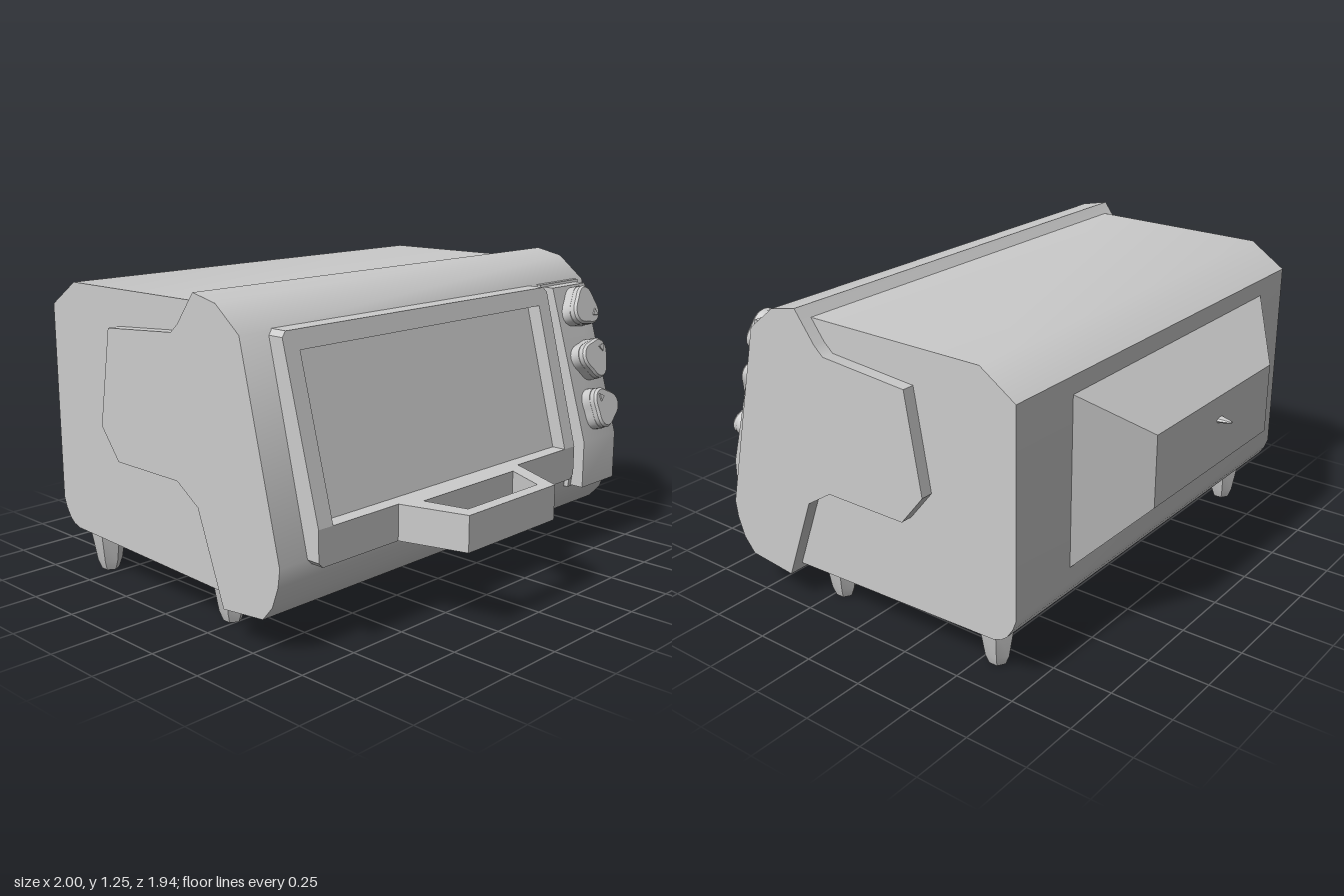
import * as THREE from 'three';
import { toCreasedNormals } from 'three/addons/utils/BufferGeometryUtils.js';

const grey = new THREE.MeshStandardMaterial({ color: 0xcccccc });
const shapeOf = pts => new THREE.Shape(pts.map(p => new THREE.Vector2(...p)));
const extrude = (shape, depth) => new THREE.ExtrudeGeometry(shape, { depth, bevelEnabled: false });

// Side profile of [z, y] points swept from x0 to x1
function prism(pts, x0, x1) {
  return extrude(shapeOf(pts), x1 - x0).rotateY(-Math.PI / 2).translate(x1, 0, 0);
}

// Front outline of [x, y] points, sheared so its front face leans back with height
const lean = y => 0.7 - 0.265 * Math.max(0, y - 0.47);
function leaningSlab(pts, depth, inset = 0) {
  const geo = extrude(shapeOf(pts), depth);
  const p = geo.attributes.position;
  for (let i = 0; i < p.count; i++) p.setZ(i, p.getZ(i) - depth - inset + lean(p.getY(i)));
  geo.computeVertexNormals();
  return geo;
}

export function createModel() {
  const model = new THREE.Group();
  const add = (name, geo, crease = 0.4, parent = model) => {
    const mesh = new THREE.Mesh(toCreasedNormals(geo, crease), grey);
    mesh.name = name;
    parent.add(mesh);
    return mesh;
  };

  // Rear casing
  add('casing', prism([
    [0.2, 1.205], [-0.58, 1.2], [-0.73, 1.1], [-0.73, 0.29], [-0.715, 0.25],
    [-0.69, 0.212], [-0.665, 0.192], [-0.63, 0.18], [0.33, 0.152], [0.4, 0.3],
  ], -0.95, 0.95), 0.6);

  // Front shell with the stepped side wings
  add('frontShell', prism([
    [0.22, 1.245], [0.34, 1.22], [0.46, 1.125], [0.645, 0.35], [0.635, 0.28],
    [0.605, 0.2], [0.555, 0.142], [0.345, 0.12], [0.215, 0.47], [0.1, 0.545],
    [-0.26, 0.545], [-0.36, 0.67], [-0.29, 1.06], [0.09, 1.09], [0.13, 1.125],
  ], -1, 1), 0.7);

  // Door: upper frame, lower bar and glass
  const door = new THREE.Group();
  door.name = 'door';
  model.add(door);
  add('doorFrame', leaningSlab([
    [-0.87, 0.47], [-0.87, 1.11], [-0.85, 1.13], [0.62, 1.13], [0.64, 1.11],
    [0.64, 0.47], [0.57, 0.47], [0.57, 1.06], [-0.8, 1.06], [-0.8, 0.47],
  ], 0.1), 0.4, door);
  add('doorLowerBar', leaningSlab([
    [-0.87, 0.47], [-0.87, 0.35], [-0.85, 0.33], [0.62, 0.33], [0.64, 0.35], [0.64, 0.47],
  ], 0.1), 0.4, door);
  add('doorGlass', leaningSlab([
    [-0.8, 0.47], [0.57, 0.47], [0.57, 1.06], [-0.8, 1.06],
  ], 0.04, 0.06), 0.4, door);

  // Handle: a trapezoid loop lying flat
  const loop = shapeOf([[-0.47, 0.69], [0.25, 0.69], [0.125, 0.965], [-0.39, 0.965]]);
  loop.holes.push(shapeOf([[-0.375, 0.74], [0.16, 0.74], [0.08, 0.915], [-0.335, 0.915]]));
  add('handle', extrude(loop, 0.14).rotateX(Math.PI / 2).translate(0, 0.47, 0), 0.4, door);

  // Control panel on a thin surround
  add('panelSurround', prism([
    [0.44, 1.13], [0.475, 1.13], [0.665, 0.35], [0.655, 0.275], [0.6, 0.275],
  ], 0.67, 0.945));
  add('controlPanel', prism([
    [0.45, 1.12], [0.525, 1.12], [0.715, 0.48], [0.715, 0.28], [0.6, 0.28],
  ], 0.69, 0.925));

  // Three-lobed knobs, each with a pointer
  const lobed = r => {
    const pts = [];
    for (let i = 0; i < 36; i++) {
      const a = i / 36 * Math.PI * 2;
      const k = r * (1 + 0.13 * Math.cos(3 * a));
      pts.push([k * Math.cos(a), k * Math.sin(a)]);
    }
    return shapeOf(pts);
  };
  [[1.02, -0.65], [0.81, 0.75], [0.605, 2.2]].forEach(([y, turn]) => {
    const knob = new THREE.Group();
    knob.name = 'knob';
    knob.position.set(0.81, y, 0.525 + 0.297 * (1.12 - y));
    knob.rotation.x = -0.289;
    const dial = new THREE.Group();
    dial.name = 'dial';
    dial.rotation.z = turn;
    knob.add(dial);
    add('knobBase', extrude(lobed(0.084), 0.04), 0.6, dial);
    add('knobCap', new THREE.ExtrudeGeometry(lobed(0.074), {
      depth: 0.02, bevelThickness: 0.01, bevelSize: 0.008, bevelSegments: 1,
    }).translate(0, 0, 0.04), 0.6, dial);
    add('knobPointer', extrude(shapeOf([[0.045, -0.016], [0.075, 0], [0.045, 0.016]]), 0.008)
      .translate(0, 0, 0.068), 0.4, dial);
    model.add(knob);
  });

  // Tapered bulge on the back: a box whose rear face is narrowed
  const bulge = new THREE.BoxGeometry(1, 1, 1);
  const p = bulge.attributes.position;
  for (let i = 0; i < p.count; i++) {
    const rear = p.getZ(i) < 0;
    const right = p.getX(i) > 0, top = p.getY(i) > 0;
    p.setXYZ(i,
      rear ? (right ? 0.375 : -0.495) : (right ? 0.635 : -0.76),
      rear ? (top ? 0.84 : 0.55) : (top ? 1.035 : 0.35),
      rear ? -0.92 : -0.725);
  }
  bulge.computeVertexNormals();
  add('rearBulge', bulge.toNonIndexed());

  // Small cord stub
  add('cordStub', new THREE.CylinderGeometry(0.008, 0.026, 0.055, 8)
    .scale(1, 1, 0.5).rotateX(-Math.PI / 2).translate(-0.09, 0.74, -0.943), 0.6);

  // Feet
  const footProfile = [[0, 0], [0.036, 0], [0.052, 0.04], [0.075, 0.17], [0, 0.17]]
    .map(q => new THREE.Vector2(...q));
  for (const x of [-0.855, 0.835]) {
    for (const z of [0.22, -0.56]) {
      add('foot', new THREE.LatheGeometry(footProfile, 6)
        .scale(0.95, 1, 1).translate(x, 0, z), 0.3);
    }
  }
  return model;
}
